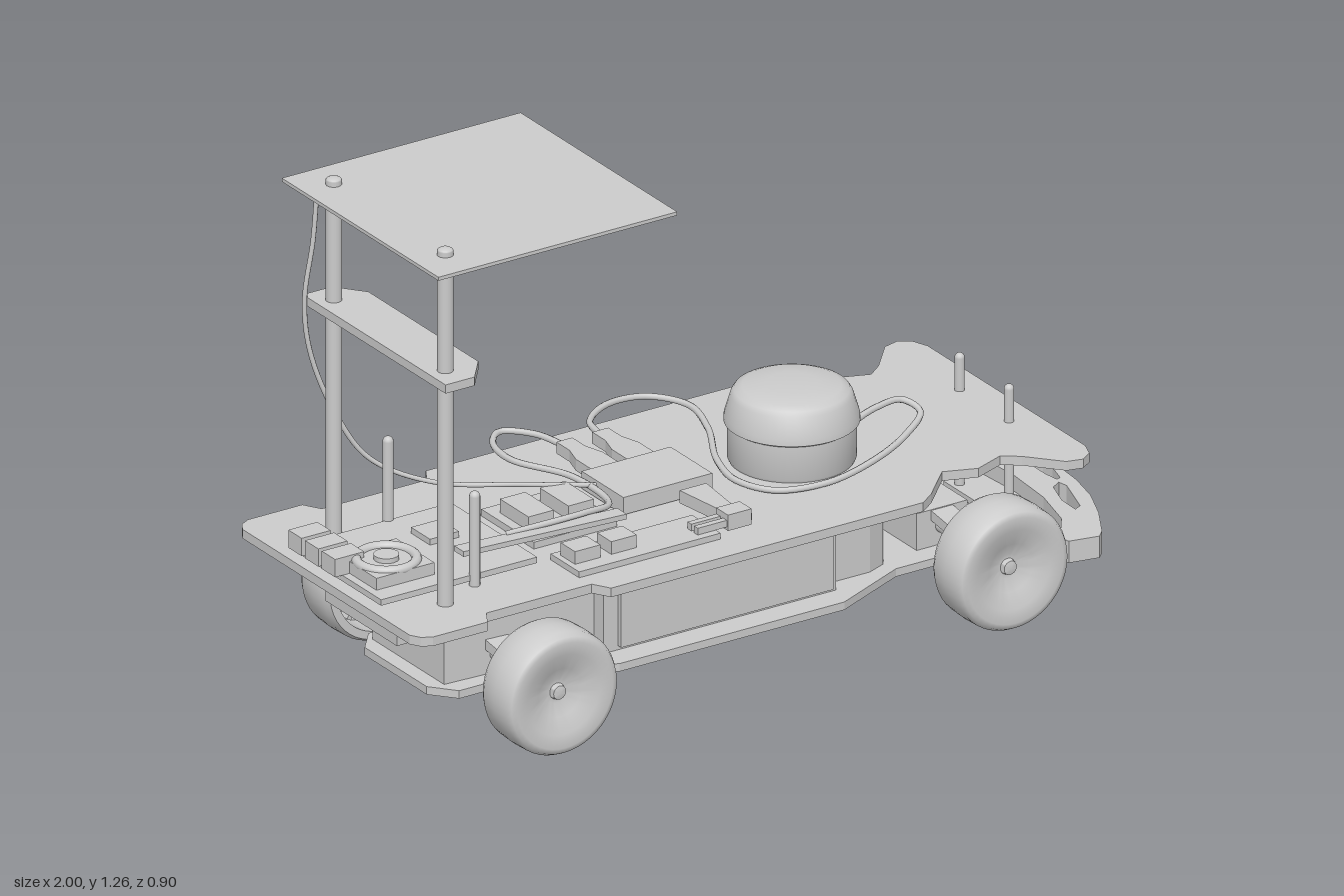
import * as THREE from 'three';
import { toCreasedNormals } from 'three/addons/utils/BufferGeometryUtils.js';

const mat = new THREE.MeshStandardMaterial({ color: 0xcccccc });
const both = new THREE.MeshStandardMaterial({ color: 0xcccccc, side: THREE.DoubleSide });

export function createModel() {
  const model = new THREE.Group();

  const add = (name, geo, x = 0, y = 0, z = 0, m = mat, parent = model) => {
    const mesh = new THREE.Mesh(geo, m);
    mesh.name = name;
    mesh.position.set(x, y, z);
    parent.add(mesh);
    return mesh;
  };
  // Box given by its limits on each axis
  const box = (name, x0, x1, y0, y1, z0, z1) =>
    add(name, new THREE.BoxGeometry(x1 - x0, y1 - y0, z1 - z0), (x0 + x1) / 2, (y0 + y1) / 2, (z0 + z1) / 2);
  const rod = (name, x, z, r, y0, y1) =>
    add(name, new THREE.CylinderGeometry(r, r, y1 - y0, 16), x, (y0 + y1) / 2, z);
  // Flat plate from a plan outline of [x, z] points
  const toVec = pts => pts.map(([x, z]) => new THREE.Vector2(x, -z));
  const plate = (name, pts, y0, y1, holes = []) => {
    const shape = new THREE.Shape(toVec(pts));
    shape.holes = holes.map(h => new THREE.Path(toVec(h)));
    const geo = new THREE.ExtrudeGeometry(shape, { depth: y1 - y0, bevelEnabled: false });
    geo.rotateX(-Math.PI / 2);
    return add(name, geo, 0, y0, 0);
  };
  const mirror = half => [...half, ...half.map(([x, z]) => [x, -z]).reverse()];
  const lathe = (pts, crease) => toCreasedNormals(
    new THREE.LatheGeometry(pts.map(p => new THREE.Vector2(...p)), 48), crease);
  const cable = (name, pts, r = 0.008) => add(name, new THREE.TubeGeometry(
    new THREE.CatmullRomCurve3(pts.map(p => new THREE.Vector3(...p))), pts.length * 8, r, 8));

  // Chassis plates: deck cut out over the rear wheels and waisted at the front ones
  plate('topDeck', mirror([[-1, 0.35], [-0.985, 0.375], [-0.96, 0.388], [-0.81, 0.388], [-0.785, 0.345],
    [-0.495, 0.345], [-0.47, 0.388], [0.39, 0.388], [0.43, 0.36], [0.52, 0.27], [0.6, 0.3], [0.68, 0.27],
    [0.72, 0.3], [0.79, 0.38], [0.83, 0.39], [0.86, 0.37], [0.875, 0.33]]), 0.34, 0.363).position.z = -0.01;
  plate('bottomPlate', mirror([[-0.82, 0.13], [-0.77, 0.19], [-0.52, 0.19], [-0.38, 0.268], [0.24, 0.268],
    [0.44, 0.18], [0.72, 0.18], [0.8, 0.25], [0.84, 0.25], [0.87, 0.18]]), 0.09, 0.11).position.z = 0.008;

  // Body between the plates
  box('batteryBox', -0.38, 0.26, 0.11, 0.34, -0.19, 0.21);
  for (const s of [1, -1]) box('sidePanel', -0.34, 0.245, 0.12, 0.34, 0.01 + s * 0.205 - 0.008, 0.01 + s * 0.205 + 0.008);
  plate('innerBody', mirror([[-0.78, 0.15], [-0.38, 0.17], [0.38, 0.17], [0.43, 0.15], [0.45, 0.12]]), 0.11, 0.34);
  box('rearBlock', -0.91, -0.78, 0.24, 0.34, -0.15, 0.15);

  // Wheels: rounded tyre, dished outer face, hollow inner side, with axle and arms
  const wheelGeo = lathe([[0.125, -0.06], [0.145, -0.06], [0.153, -0.045], [0.155, 0], [0.153, 0.045],
    [0.145, 0.06], [0.132, 0.064], [0.1, 0.058], [0.06, 0.044], [0.03, 0.03], [0.02, 0.03], [0.017, 0.042], [0, 0.046]], 0.9);
  const rimGeo = lathe([[0, 0.015], [0.1, 0.025], [0.125, 0.015], [0.125, -0.06]], 0.6);
  for (const [x, zw] of [[-0.64, 0.38], [0.605, 0.375]]) {
    for (const s of [1, -1]) {
      const wheel = new THREE.Group();
      wheel.name = x > 0 ? 'frontWheel' : 'rearWheel';
      wheel.position.set(x, 0.158, s * zw);
      wheel.rotation.x = s * Math.PI / 2;
      model.add(wheel);
      add('tyre', wheelGeo, 0, 0, 0, both, wheel);
      add('rimInside', rimGeo, 0, 0, 0, both, wheel);
      add('hub', new THREE.CylinderGeometry(0.025, 0.035, 0.085, 16), 0, -0.025, 0, mat, wheel);
      for (let i = 0; i < 3; i++) {
        const spoke = add('spoke', new THREE.BoxGeometry(0.24, 0.03, 0.012), 0, 0.005, 0, mat, wheel);
        spoke.rotation.y = i * Math.PI / 3;
      }
      const arm = add('axleArm', new THREE.BoxGeometry(0.06, 0.025, 0.2), x, 0.178, s * 0.21);
      arm.rotation.x = s * 0.13;
    }
    const axle = add('axle', new THREE.CylinderGeometry(0.018, 0.018, 2 * zw - 0.06, 16), x, 0.158, 0);
    axle.rotation.x = Math.PI / 2;
    box('axleHousing', x - 0.07, x + 0.07, 0.11, 0.203, -0.13, 0.13);
  }

  // Crescent bumper with three slots
  const sideSlot = s => [[0.9, 0.24], [0.92, 0.23], [0.955, 0.12], [0.95, 0.095], [0.925, 0.11], [0.902, 0.18]]
    .map(([x, z]) => [x, z * s]);
  plate('bumper', mirror([[0.885, 0], [0.875, 0.14], [0.845, 0.26], [0.785, 0.35], [0.79, 0.375], [0.865, 0.39],
    [0.885, 0.37], [0.935, 0.28], [0.972, 0.19], [0.992, 0.1], [1, 0]]).map(([x, z]) => [x, z + 0.005]),
    0.11, 0.165, [sideSlot(1), sideSlot(-1),
      mirror([[0.95, 0.04], [0.956, 0.078], [0.967, 0.075], [0.982, 0.02]])]);
  box('bumperMount', 0.78, 0.9, 0.105, 0.125, -0.13, 0.13);
  for (const z of [0.11, -0.097]) {
    rod('frontPost', 0.803, z, 0.012, 0.11, 0.445);
    add('frontPostTip', new THREE.SphereGeometry(0.012, 16, 8), 0.803, 0.445, z);
  }

  // Mast with shelf and top panel
  for (const z of [0.24, -0.227]) {
    rod('mastPost', -0.836, z, 0.019, 0.36, 1.258);
    add('mastPostTip', new THREE.SphereGeometry(0.019, 16, 8).scale(1, 0.4, 1), -0.836, 1.258, z);
  }
  for (const z of [0.19, -0.173]) {
    rod('shortPost', -0.722, z, 0.013, 0.36, 0.588);
    add('shortPostTip', new THREE.SphereGeometry(0.013, 16, 8), -0.722, 0.588, z);
  }
  box('topPanel', -0.918, -0.26, 1.238, 1.247, -0.32, 0.336);
  plate('shelf', [[-0.88, -0.29], [-0.88, 0.308], [-0.8, 0.308], [-0.745, 0.24], [-0.745, -0.22], [-0.8, -0.29]],
    0.932, 0.954);

  // Scanner with domed cap
  add('scanner', lathe([[0, 0.36], [0.145, 0.36], [0.15, 0.37], [0.15, 0.455], [0.158, 0.46], [0.157, 0.475],
    [0.142, 0.525], [0.134, 0.537], [0.115, 0.545], [0.06, 0.551], [0, 0.552]], 0.6), 0.277, 0, 0);

  // Rear computer board, fan and ports
  box('computerBoard', -0.98, -0.55, 0.375, 0.39, -0.17, 0.19);
  const fan = add('fanRing', new THREE.TorusGeometry(0.07, 0.012, 10, 32), -0.88, 0.42, 0.06);
  fan.rotation.x = Math.PI / 2;
  box('fanHousing', -0.96, -0.8, 0.39, 0.42, -0.02, 0.14);
  rod('fanHub', -0.88, 0.06, 0.03, 0.42, 0.432);
  for (const z of [-0.14, -0.07, 0]) box('rearPort', -1, -0.92, 0.39, 0.435, z - 0.028, z + 0.028);
  box('chip', -0.72, -0.64, 0.39, 0.405, -0.08, 0);

  // Controller board with connectors, and the power board
  box('controllerBoard', -0.5, -0.11, 0.363, 0.378, 0.17, 0.29);
  for (const x of [-0.45, -0.35]) box('connector', x - 0.035, x + 0.035, 0.378, 0.41, 0.19, 0.25);
  box('powerBoard', -0.5, -0.27, 0.363, 0.38, -0.12, 0.1);
  for (const x of [-0.44, -0.33]) box('powerPart', x - 0.035, x + 0.035, 0.38, 0.415, -0.08, 0.04);
  const ribbon = box('ribbon', -0.72, -0.27, 0.405, 0.418, 0.1, 0.14);
  ribbon.rotation.z = -0.04;

  // Hub box with plugs
  box('hubBox', -0.23, 0.015, 0.368, 0.412, -0.11, 0.065);
  for (const x of [-0.156, -0.057]) {
    plate('hubPlug', [[-0.037, -0.11], [0.037, -0.11], [0.037, -0.19], [0.022, -0.24], [0.022, -0.295],
      [-0.022, -0.295], [-0.022, -0.24], [-0.037, -0.19]].map(([u, z]) => [x + u, z]), 0.373, 0.402);
  }
  plate('angledPlug', [[-0.092, 0.09], [-0.018, 0.09], [-0.035, 0.24], [-0.072, 0.24]], 0.373, 0.405);
  for (const z of [0.235, 0.262]) box('plugProng', -0.16, -0.01, 0.378, 0.395, z - 0.008, z + 0.008);
  box('plugEnd', -0.08, -0.015, 0.37, 0.41, 0.225, 0.275);

  // Cables: scanner lead, hub lead and the mast lead
  cable('scannerCable', [[-0.057, 0.388, -0.29], [-0.03, 0.385, -0.38], [0.06, 0.385, -0.438], [0.16, 0.38, -0.432],
    [0.22, 0.376, -0.35], [0.19, 0.374, -0.22], [0.11, 0.374, -0.06], [0.085, 0.374, 0.06], [0.13, 0.374, 0.155],
    [0.25, 0.374, 0.185], [0.4, 0.378, 0.15], [0.54, 0.385, 0.08], [0.62, 0.4, 0.015], [0.6, 0.415, -0.03],
    [0.52, 0.418, -0.02], [0.41, 0.41, 0.02]]);
  cable('hubCable', [[-0.156, 0.388, -0.29], [-0.18, 0.39, -0.38], [-0.24, 0.39, -0.437], [-0.29, 0.39, -0.39],
    [-0.31, 0.395, -0.28], [-0.25, 0.4, -0.12], [-0.26, 0.4, 0.05], [-0.36, 0.42, 0.1], [-0.58, 0.42, 0.1]]);
  cable('mastCable', [[-0.23, 0.4, -0.05], [-0.4, 0.425, -0.1], [-0.6, 0.455, -0.17], [-0.74, 0.53, -0.225],
    [-0.82, 0.66, -0.25], [-0.875, 0.82, -0.268], [-0.888, 0.95, -0.27], [-0.87, 1.1, -0.262], [-0.862, 1.24, -0.256]], 0.006);

  return model;
}
